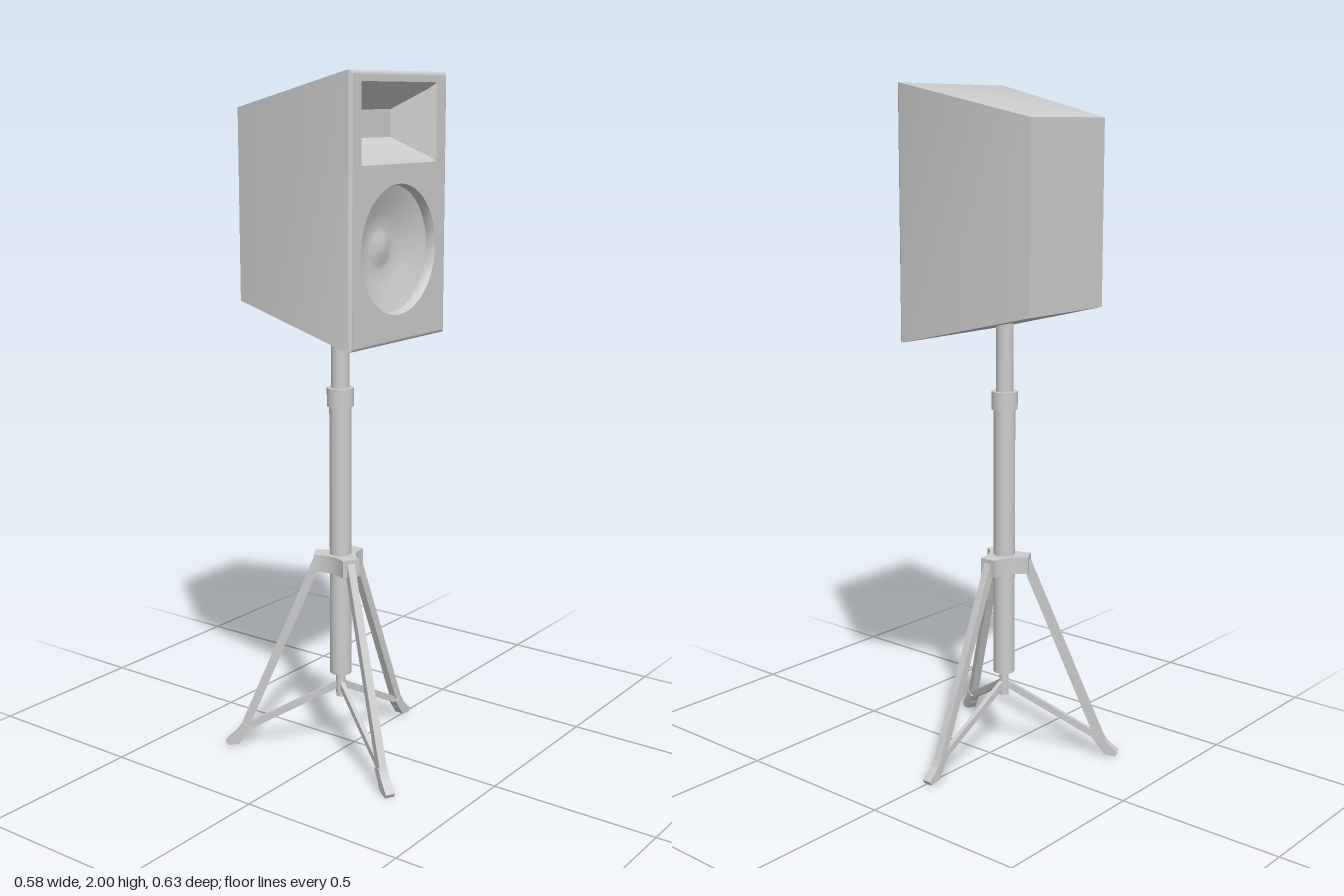
import * as THREE from 'three';
import { toCreasedNormals } from 'three/addons/utils/BufferGeometryUtils.js';

const material = new THREE.MeshStandardMaterial({ color: 0xcccccc });
const twoSided = new THREE.MeshStandardMaterial({ color: 0xcccccc, side: THREE.DoubleSide });
const AXIS_X = -0.063, AXIS_Z = -0.004;

function add(parent, name, geometry, x = 0, y = 0, z = 0, mat = material) {
  const mesh = new THREE.Mesh(geometry, mat);
  mesh.name = name;
  mesh.position.set(x, y, z);
  parent.add(mesh);
  return mesh;
}

// Walls through rectangular rings [x0, x1, y0, y1, z]; front to back faces out, back to front faces in
function loft(rings) {
  const pos = [];
  const corners = ([x0, x1, y0, y1, z]) => [[x0, y0, z], [x1, y0, z], [x1, y1, z], [x0, y1, z]];
  for (let r = 0; r < rings.length - 1; r++) {
    const a = corners(rings[r]), b = corners(rings[r + 1]);
    for (let i = 0; i < 4; i++) {
      const j = (i + 1) % 4;
      for (const p of [a[i], b[i], b[j], a[i], b[j], a[j]]) pos.push(...p);
    }
  }
  const g = new THREE.BufferGeometry();
  g.setAttribute('position', new THREE.Float32BufferAttribute(pos, 3));
  return toCreasedNormals(g, 0.6);
}

const inset = ([x0, x1, y0, y1], d, z) => [x0 + d, x1 - d, y0 + d, y1 - d, z];

function rectPath(path, [x0, x1, y0, y1]) {
  path.moveTo(x0, y0);
  path.lineTo(x1, y0);
  path.lineTo(x1, y1);
  path.lineTo(x0, y1);
  path.closePath();
  return path;
}

// Square bar between two points in the XY plane
function bar(parent, name, x0, y0, x1, y1, thick, width) {
  const mesh = add(parent, name, new THREE.BoxGeometry(Math.hypot(x1 - x0, y1 - y0), thick, width),
    (x0 + x1) / 2, (y0 + y1) / 2, 0);
  mesh.rotation.z = Math.atan2(y1 - y0, x1 - x0);
}

function buildCabinet() {
  const g = new THREE.Group();
  g.name = 'speakerCabinet';
  const front = [-0.29, 0.166, 1.27, 2.0];
  const back = [-0.23, 0.106, 1.37, 1.905];
  const horn = [-0.243, 0.113, 1.757, 1.972];
  const throat = [-0.135, 0.01, 1.825, 1.90];
  const cone = { x: -0.066, y: 1.526, r: 0.178 };
  const zf = 0.2, zb = -0.23;

  // Tapered shell with rounded front edge
  add(g, 'shell', loft([
    inset(front, 0.01, zf), inset(front, 0.005, zf - 0.0015), inset(front, 0.0015, zf - 0.005),
    inset(front, 0, zf - 0.01), [...back, zb],
  ]));
  const rear = add(g, 'rearPanel', new THREE.PlaneGeometry(back[1] - back[0], back[3] - back[2]),
    (back[0] + back[1]) / 2, (back[2] + back[3]) / 2, zb);
  rear.rotation.y = Math.PI;

  // Front baffle with horn and woofer openings
  const face = rectPath(new THREE.Shape(), inset(front, 0.01, 0));
  const round = new THREE.Path();
  round.absarc(cone.x, cone.y, cone.r, 0, Math.PI * 2);
  face.holes.push(rectPath(new THREE.Path(), horn), round);
  add(g, 'baffle', new THREE.ShapeGeometry(face, 32), 0, 0, zf);

  // Flared horn and its throat
  add(g, 'horn', loft([
    [...throat, zf - 0.085], inset(horn, 0.016, zf - 0.016),
    inset(horn, 0.007, zf - 0.006), inset(horn, 0, zf),
  ]));
  add(g, 'hornThroat', new THREE.PlaneGeometry(throat[1] - throat[0], throat[3] - throat[2]),
    (throat[0] + throat[1]) / 2, (throat[2] + throat[3]) / 2, zf - 0.085);

  // Recessed woofer: rim wall, cone and domed centre
  const profile = [[0.178, 0], [0.175, -0.004], [0.174, -0.028], [0.168, -0.03], [0.14, -0.04],
    [0.1, -0.055], [0.06, -0.066], [0.045, -0.064], [0.025, -0.058], [0, -0.055]]
    .map(([r, d]) => new THREE.Vector2(r, d));
  const woofer = add(g, 'woofer', toCreasedNormals(new THREE.LatheGeometry(profile, 64), 0.7),
    cone.x, cone.y, zf, twoSided);
  woofer.rotation.x = Math.PI / 2;
  return g;
}

function buildStand() {
  const g = new THREE.Group();
  g.name = 'tripodStand';
  g.position.set(AXIS_X, 0, AXIS_Z);

  // Telescoping pole: name, radius, bottom, top
  for (const [name, r, y0, y1] of [
    ['upperPole', 0.026, 1.05, 1.335], ['collar', 0.039, 1.066, 1.12],
    ['mainTube', 0.032, 0.25, 1.08], ['lowerRod', 0.014, 0.175, 0.26],
  ]) add(g, name, new THREE.CylinderGeometry(r, r, y1 - y0, 32), 0, (y0 + y1) / 2, 0);

  // Three-armed hub with concave sides
  const hub = new THREE.Shape();
  const polar = (r, a) => [r * Math.cos(a), r * Math.sin(a)];
  const tipR = Math.hypot(0.077, 0.026), tipA = Math.atan2(0.026, 0.077);
  for (let i = 0; i < 3; i++) {
    const a = i * Math.PI * 2 / 3;
    if (i === 0) hub.moveTo(...polar(tipR, a - tipA));
    hub.lineTo(...polar(tipR, a + tipA));
    hub.quadraticCurveTo(...polar(0.03, a + Math.PI / 3), ...polar(tipR, a + Math.PI * 2 / 3 - tipA));
  }
  const hubGeo = new THREE.ExtrudeGeometry(hub, { depth: 0.052, bevelEnabled: false, curveSegments: 10 });
  hubGeo.rotateX(-Math.PI / 2);
  add(g, 'hub', hubGeo, 0, 0.57, 0);

  // Legs with braces and feet
  const foot = new THREE.Shape([[0.272, 0.062], [0.302, 0.072], [0.318, 0.045], [0.353, 0.012],
    [0.346, 0], [0.312, 0.006]].map(([x, y]) => new THREE.Vector2(x, y)));
  const footGeo = new THREE.ExtrudeGeometry(foot, { depth: 0.028, bevelEnabled: false });
  footGeo.translate(0, 0, -0.014);
  for (let i = 0; i < 3; i++) {
    const leg = new THREE.Group();
    leg.name = 'leg' + (i + 1);
    leg.rotation.y = i * Math.PI * 2 / 3;
    bar(leg, 'legTube', 0.066, 0.605, 0.305, 0.035, 0.026, 0.023);
    bar(leg, 'brace', 0.006, 0.212, 0.295, 0.055, 0.02, 0.014);
    add(leg, 'foot', footGeo);
    g.add(leg);
  }
  return g;
}

export function createModel() {
  const model = new THREE.Group();
  model.name = 'speakerOnTripod';
  model.add(buildCabinet(), buildStand());
  return model;
}
